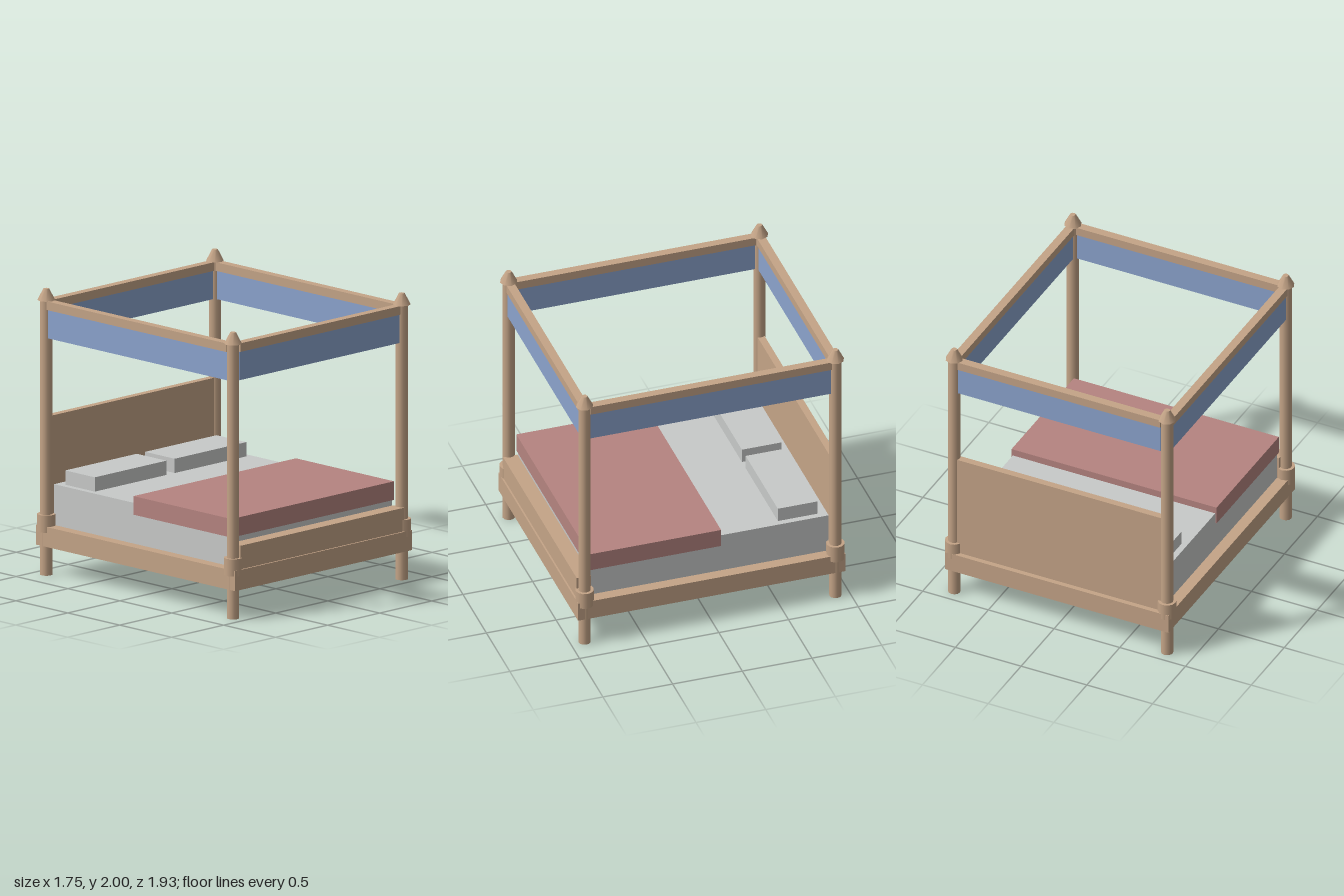
import * as THREE from 'three';

export function createModel() {
  const bed = new THREE.Group();
  bed.name = 'fourPosterBed';

  const material = (name, color) => {
    const m = new THREE.MeshStandardMaterial({ color });
    m.name = name;
    return m;
  };
  const wood = material('wood', 0xc4a487);
  const linen = material('linen', 0xc8cac9);
  const blanketRed = material('blanketRed', 0xb58480);
  const canopyBlue = material('canopyBlue', 0x8ba3cd);

  const add = (name, geometry, mat, parent = bed) => {
    const mesh = new THREE.Mesh(geometry, mat);
    mesh.name = name;
    parent.add(mesh);
    return mesh;
  };

  // Box given by its limits on each axis
  const box = (name, mat, [x0, x1], [y0, y1], [z0, z1]) => {
    const mesh = add(name, new THREE.BoxGeometry(x1 - x0, y1 - y0, z1 - z0), mat);
    mesh.position.set((x0 + x1) / 2, (y0 + y1) / 2, (z0 + z1) / 2);
  };

  // Upright round part, possibly tapered
  const turned = (name, parent, rBottom, rTop, y0, y1, sides) => {
    const mesh = add(name, new THREE.CylinderGeometry(rTop, rBottom, y1 - y0, sides), wood, parent);
    mesh.position.y = (y0 + y1) / 2;
  };

  const postX = 0.81, postZ = 0.9;

  // Posts with collars and pointed finials
  for (const sx of [-1, 1]) {
    for (const sz of [-1, 1]) {
      const post = new THREE.Group();
      post.name = (sz > 0 ? 'front' : 'back') + (sx > 0 ? 'Left' : 'Right') + 'Post';
      post.position.set(sx * postX, 0, sz * postZ);
      turned('shaft', post, 0.043, 0.043, 0, 1.92, 12);
      turned('collar', post, 0.064, 0.064, 0.305, 0.425, 12);
      turned('finial', post, 0.061, 0.02, 1.92, 2, 8);
      bed.add(post);
    }
  }

  // Base and end boards
  box('base', wood, [-0.85, 0.85], [0.205, 0.345], [-0.96, 0.96]);
  box('headboard', wood, [-0.775, 0.775], [0.345, 1.11], [-0.925, -0.875]);
  box('footboard', wood, [-0.785, 0.785], [0.345, 0.51], [0.845, 0.948]);

  // Bedding
  box('mattress', linen, [-0.77, 0.77], [0.345, 0.63], [-0.865, 0.845]);
  box('blanket', blanketRed, [-0.78, 0.78], [0.55, 0.68], [-0.09, 0.855]);
  for (const s of [-1, 1]) {
    const xs = [s * 0.04, s * 0.727].sort((a, b) => a - b);
    box(s > 0 ? 'leftPillow' : 'rightPillow', linen, xs, [0.63, 0.73], [-0.8, -0.515]);
  }

  // Canopy rails with hanging valances
  for (const s of [-1, 1]) {
    const around = (c, half) => [s * c - half, s * c + half];
    const end = s > 0 ? 'front' : 'back', side = s > 0 ? 'left' : 'right';
    box(end + 'Rail', wood, [-0.77, 0.77], [1.86, 1.92], around(postZ, 0.03));
    box(end + 'Valance', canopyBlue, [-0.77, 0.77], [1.66, 1.86], around(postZ, 0.02));
    box(side + 'Rail', wood, around(postX, 0.03), [1.86, 1.92], [-0.865, 0.865]);
    box(side + 'Valance', canopyBlue, around(postX, 0.02), [1.66, 1.86], [-0.865, 0.865]);
  }

  return bed;
}
